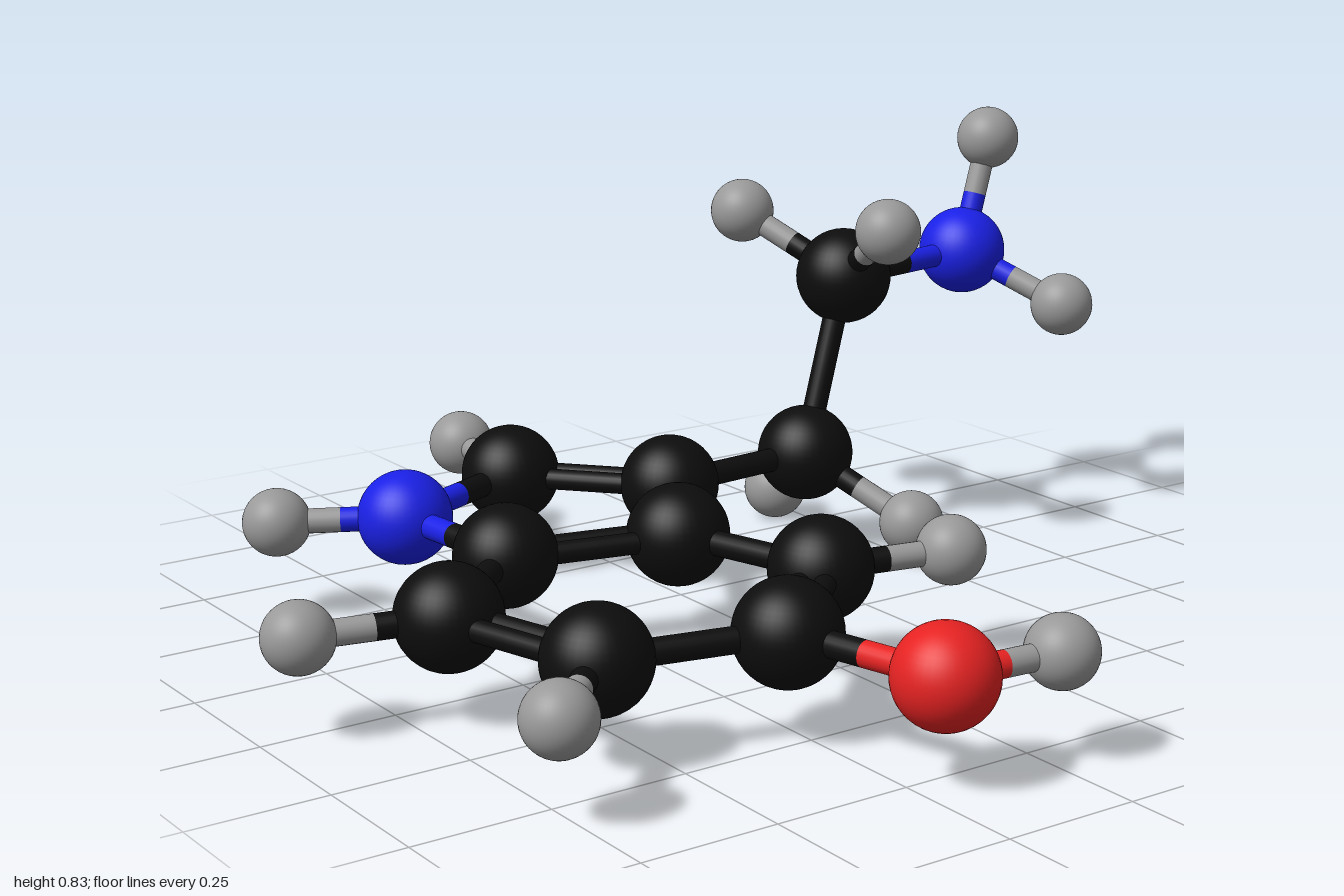
import * as THREE from 'three';

// Elements: colour and ball radius
const ELEMENTS = {
  carbon: { color: 0x0d0d0d, radius: 0.094 },
  nitrogen: { color: 0x1a20e6, radius: 0.088 },
  oxygen: { color: 0xe62222, radius: 0.089 },
  hydrogen: { color: 0x999999, radius: 0.063 },
};

// Atoms: element and centre
const ATOMS = {
  // five-sided ring
  c2: ['carbon', -0.57, 0.2, 0.18],
  c3: ['carbon', -0.33, 0.2, -0.03],
  c3a: ['carbon', -0.05, 0.2, 0.14],
  c7a: ['carbon', -0.135, 0.195, 0.45],
  n1: ['nitrogen', -0.445, 0.195, 0.48],
  // six-sided ring
  c4: ['carbon', 0.258, 0.2, 0.05],
  c5: ['carbon', 0.482, 0.193, 0.285],
  c6: ['carbon', 0.4, 0.188, 0.6],
  c7: ['carbon', 0.086, 0.19, 0.69],
  o5: ['oxygen', 0.79, 0.192, 0.207],
  // side chain
  cLow: ['carbon', -0.36, 0.2, -0.375],
  cHigh: ['carbon', -0.387, 0.54, -0.488],
  nEnd: ['nitrogen', -0.43, 0.545, -0.828],
  // hydrogens
  h1: ['hydrogen', -0.568, 0.19, 0.68],
  h2: ['hydrogen', -0.822, 0.2, 0.145],
  h4: ['hydrogen', 0.32, 0.205, -0.19],
  h5: ['hydrogen', 0.815, 0.195, -0.012],
  h6: ['hydrogen', 0.577, 0.183, 0.78],
  h7: ['hydrogen', 0.018, 0.184, 0.932],
  hLowA: ['hydrogen', -0.565, 0.067, -0.45],
  hLowB: ['hydrogen', -0.156, 0.085, -0.484],
  hHighA: ['hydrogen', -0.585, 0.653, -0.382],
  hHighB: ['hydrogen', -0.175, 0.668, -0.432],
  hEndA: ['hydrogen', -0.445, 0.77, -0.905],
  hEndB: ['hydrogen', -0.24, 0.45, -0.937],
};

// Bonded pairs
const SINGLE = [
  'c3 c3a', 'c2 n1', 'n1 c7a', 'c3a c4', 'c5 c6', 'c7 c7a', 'c5 o5',
  'c3 cLow', 'cLow cHigh', 'cHigh nEnd',
  'n1 h1', 'c2 h2', 'c4 h4', 'o5 h5', 'c6 h6', 'c7 h7',
  'cLow hLowA', 'cLow hLowB', 'cHigh hHighA', 'cHigh hHighB', 'nEnd hEndA', 'nEnd hEndB',
];
const DOUBLE = ['c2 c3', 'c3a c7a', 'c4 c5', 'c6 c7'];

const UP = new THREE.Vector3(0, 1, 0);

export function createModel() {
  const model = new THREE.Group();
  model.name = 'molecule';
  const materials = {};
  const balls = {};
  for (const [element, { color, radius }] of Object.entries(ELEMENTS)) {
    materials[element] = new THREE.MeshStandardMaterial({ color });
    balls[element] = new THREE.SphereGeometry(radius, 40, 24);
  }
  const centre = (id) => new THREE.Vector3(...ATOMS[id].slice(1));

  // Balls
  for (const [id, [element]] of Object.entries(ATOMS)) {
    const ball = new THREE.Mesh(balls[element], materials[element]);
    ball.name = `${element}Atom`;
    ball.position.copy(centre(id));
    model.add(ball);
  }

  // A rod from start to end in one element's colour
  const addRod = (parent, start, end, radius, element) => {
    const along = end.clone().sub(start);
    const rod = new THREE.Mesh(
      new THREE.CylinderGeometry(radius, radius, along.length(), 20), materials[element]);
    rod.name = `${element}HalfBond`;
    rod.position.copy(start).lerp(end, 0.5);
    rod.quaternion.setFromUnitVectors(UP, along.normalize());
    parent.add(rod);
  };

  // Each bond is two half rods, coloured by the nearer atom
  const addBond = (pair, radius, offsets, name) => {
    const [a, b] = pair.split(' ');
    const bond = new THREE.Group();
    bond.name = name;
    const side = centre(b).sub(centre(a)).cross(UP).normalize();
    for (const offset of offsets) {
      const start = centre(a).addScaledVector(side, offset);
      const end = centre(b).addScaledVector(side, offset);
      const middle = start.clone().lerp(end, 0.5);
      addRod(bond, start, middle, radius, ATOMS[a][0]);
      addRod(bond, middle, end, radius, ATOMS[b][0]);
    }
    model.add(bond);
  };
  for (const pair of SINGLE) addBond(pair, 0.023, [0], 'singleBond');
  for (const pair of DOUBLE) addBond(pair, 0.02, [-0.021, 0.021], 'doubleBond');

  return model;
}
